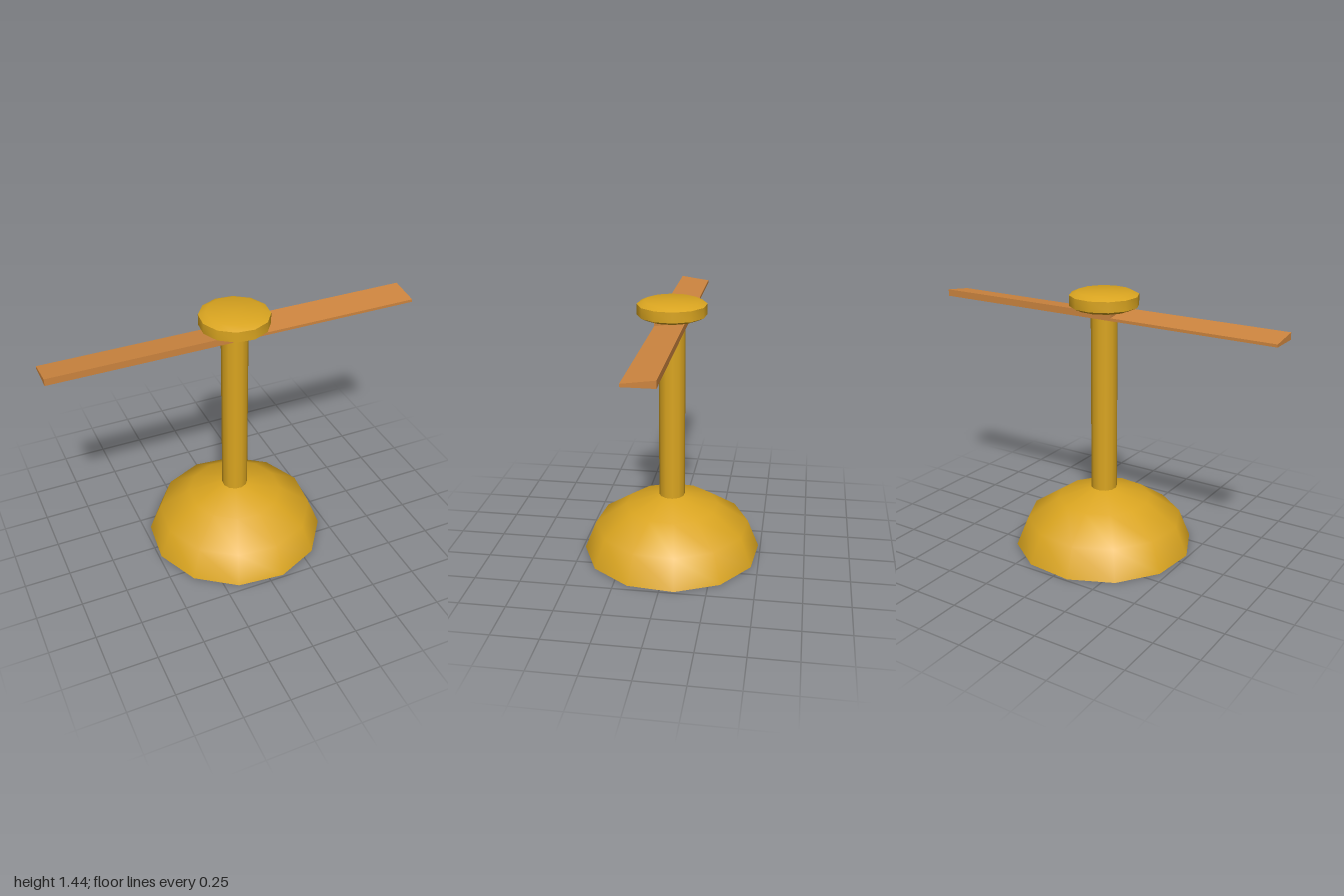
import * as THREE from 'three';
import { toCreasedNormals } from 'three/addons/utils/BufferGeometryUtils.js';

const SIDES = 12;
const TURN = THREE.MathUtils.degToRad(9.3); // the round parts are turned slightly

function turned(points) {
  const profile = points.map(([r, y]) => new THREE.Vector2(r, y));
  return new THREE.LatheGeometry(profile, SIDES, TURN);
}

export function createModel() {
  const gold = new THREE.MeshStandardMaterial({ color: 0xdaa520, side: THREE.DoubleSide });
  gold.name = 'gold';
  const wood = new THREE.MeshStandardMaterial({ color: 0xcd853f });
  wood.name = 'copper wood';

  const model = new THREE.Group();
  model.name = 'spinner';
  const add = (name, geometry, material) => {
    const mesh = new THREE.Mesh(geometry, material);
    mesh.name = name;
    model.add(mesh);
    return mesh;
  };

  // Hollow dome, open underneath
  add('domeBase', turned([[0.494, 0], [0.429, 0.16], [0.258, 0.275], [0.07, 0.335], [0, 0.34]]), gold);

  // Upright shaft
  const shaft = new THREE.CylinderGeometry(0.071, 0.071, 0.975, SIDES, 1, false, TURN);
  shaft.translate(0, 0.335 + 0.975 / 2, 0);
  add('shaft', shaft, gold);

  // Bevelled disc on top
  const cap = turned([[0, 1.346], [0.145, 1.346], [0.184, 1.364], [0.184, 1.42], [0.145, 1.438], [0, 1.438]]);
  add('topCap', toCreasedNormals(cap, 0.6), gold);

  // Square hub between the two blades
  const low = 1.306, high = 1.343, halfWidth = 0.08, hubHalf = 0.088;
  const hub = new THREE.BoxGeometry(hubHalf * 2, high - low, halfWidth * 2);
  hub.translate(0, (low + high) / 2, 0);
  add('hub', hub, wood);

  // Blades: boxes whose top slopes down to a thin leading edge
  const blade = new THREE.BoxGeometry(1 - hubHalf, high - low, halfWidth * 2);
  blade.translate((1 + hubHalf) / 2, (low + high) / 2, 0);
  const p = blade.attributes.position;
  for (let i = 0; i < p.count; i++) {
    if (p.getY(i) > 1.33 && p.getZ(i) > 0) p.setY(i, 1.321);
  }
  blade.computeVertexNormals();
  add('leftBlade', blade, wood);
  add('rightBlade', blade, wood).rotation.y = Math.PI;

  return model;
}
